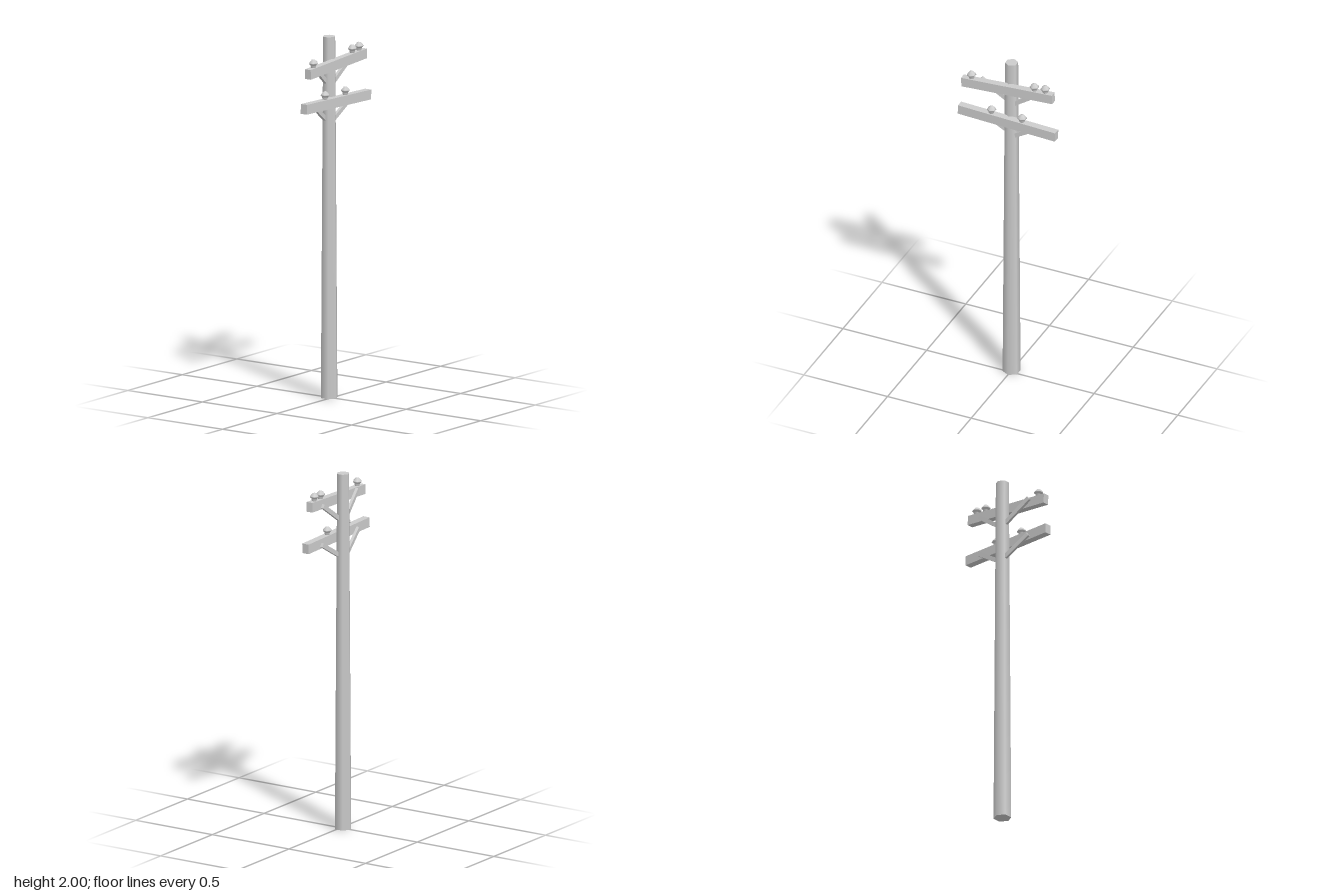
import * as THREE from 'three';

const material = new THREE.MeshStandardMaterial({ color: 0xcccccc });

function addMesh(parent, name, geometry) {
  const mesh = new THREE.Mesh(geometry, material);
  mesh.name = name;
  parent.add(mesh);
  return mesh;
}

// Six-sided insulator: narrow neck, wide skirt, pointed cap
const insulatorGeometry = new THREE.LatheGeometry(
  [[0.012, -0.006], [0.017, 0.01], [0.017, 0.016], [0.026, 0.021], [0.025, 0.027], [0.011, 0.042], [0, 0.046]]
    .map(([r, y]) => new THREE.Vector2(r, y)), 6);

// Square timber running between two points
function addBrace(parent, name, from, to) {
  const a = new THREE.Vector3(...from);
  const b = new THREE.Vector3(...to);
  const brace = addMesh(parent, name, new THREE.BoxGeometry(0.016, 0.024, a.distanceTo(b)));
  brace.position.copy(a).lerp(b, 0.5);
  brace.lookAt(b);
}

// Slightly crooked crossarm with insulators standing on it
function addCrossarm(parent, { name, length, depth, y, yaw, tilt, insulators }) {
  const arm = new THREE.Group();
  arm.name = name;
  arm.position.set(0, y, 0.03);
  arm.rotation.set(0, yaw, tilt);
  addMesh(arm, name + 'Beam', new THREE.BoxGeometry(length, 0.054, depth));
  for (const x of insulators) {
    addMesh(arm, 'insulator', insulatorGeometry).position.set(x, 0.027, 0);
  }
  parent.add(arm);
}

export function createModel() {
  const model = new THREE.Group();
  model.name = 'utilityPole';

  // Tapered six-sided pole, set just behind the crossarms
  const pole = addMesh(model, 'pole', new THREE.CylinderGeometry(0.036, 0.049, 2, 6));
  pole.position.set(0, 1, -0.016);

  // Crossarms
  addCrossarm(model, {
    name: 'upperCrossarm', length: 0.536, depth: 0.038, y: 1.853,
    yaw: 0.028, tilt: 0.046, insulators: [-0.213, 0.158, 0.222],
  });
  addCrossarm(model, {
    name: 'lowerCrossarm', length: 0.583, depth: 0.041, y: 1.643,
    yaw: -0.01, tilt: -0.027, insulators: [-0.1, 0.083],
  });

  // Diagonal braces from the pole up to the back of each crossarm
  addBrace(model, 'upperLeftBrace', [0.02, 1.746, -0.004], [0.178, 1.854, -0.004]);
  addBrace(model, 'upperRightBrace', [-0.02, 1.748, -0.02], [-0.172, 1.864, 0.006]);
  addBrace(model, 'lowerLeftBrace', [0.02, 1.541, -0.002], [0.18, 1.635, 0]);
  addBrace(model, 'lowerRightBrace', [-0.02, 1.543, -0.026], [-0.17, 1.647, -0.001]);

  return model;
}
